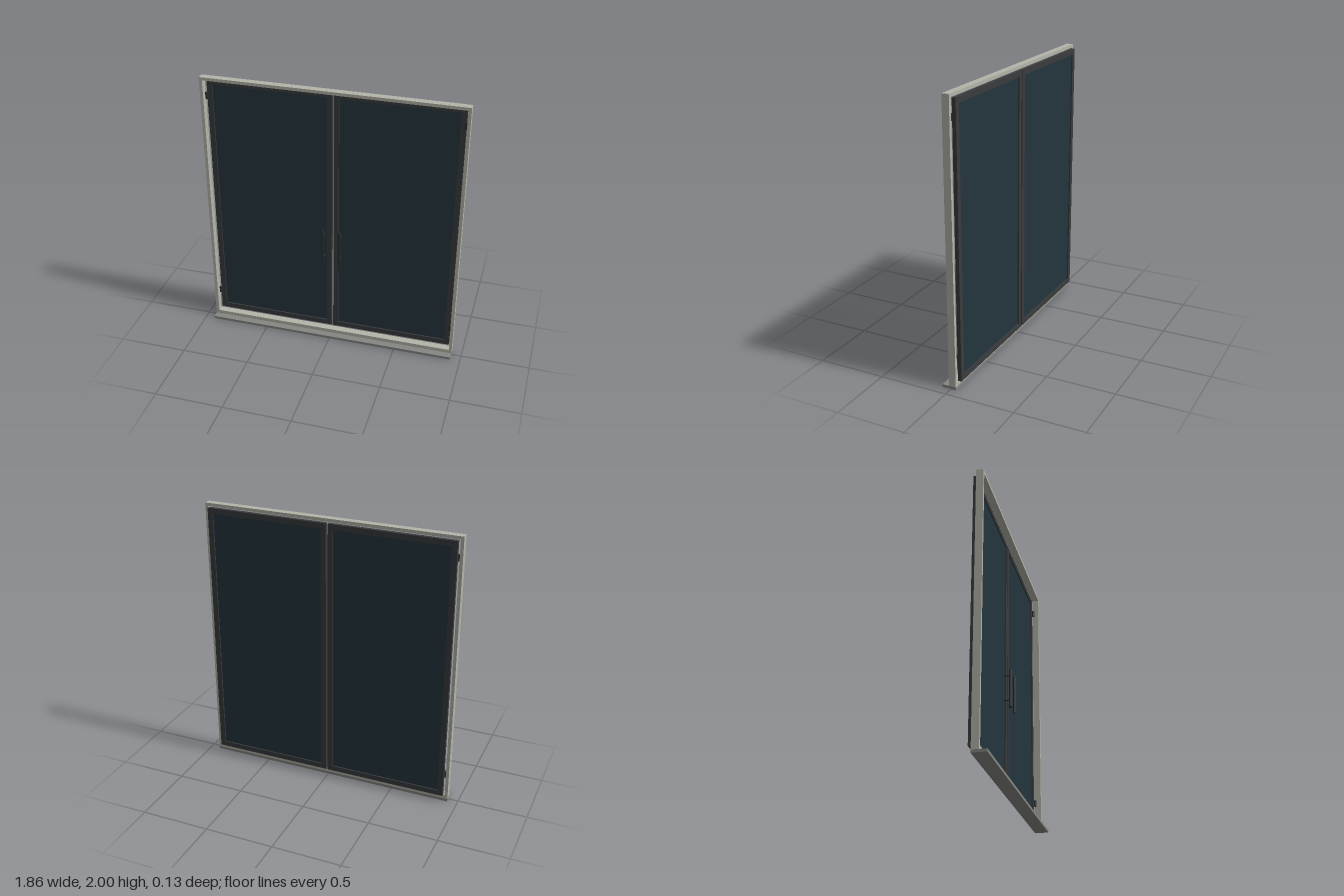
import * as THREE from 'three';

const mat = (color) => new THREE.MeshStandardMaterial({ color });

// Rectangular ring with an opening, extruded from z0 to z1
function ring(outer, inner, z0, z1, material, name) {
  const [ax, ay, bx, by] = outer, [cx, cy, dx, dy] = inner;
  const shape = new THREE.Shape([[ax, ay], [bx, ay], [bx, by], [ax, by]].map(p => new THREE.Vector2(...p)));
  shape.holes.push(new THREE.Path([[cx, cy], [cx, dy], [dx, dy], [dx, cy]].map(p => new THREE.Vector2(...p))));
  const geo = new THREE.ExtrudeGeometry(shape, { depth: z1 - z0, bevelEnabled: false });
  const mesh = new THREE.Mesh(geo.translate(0, 0, z0), material);
  mesh.name = name;
  return mesh;
}

function box(min, max, material, name) {
  const size = max.map((v, i) => v - min[i]);
  const mesh = new THREE.Mesh(new THREE.BoxGeometry(...size), material);
  mesh.position.set(...max.map((v, i) => (v + min[i]) / 2));
  mesh.name = name;
  return mesh;
}

function rod(radius, length, x, y, z, material, name) {
  const mesh = new THREE.Mesh(new THREE.CylinderGeometry(radius, radius, length, 20), material);
  mesh.position.set(x, y, z);
  mesh.name = name;
  return mesh;
}

export function createModel() {
  const model = new THREE.Group();
  model.name = 'doubleDoor';
  const frameMat = mat(0xb4b5a9), sillMat = mat(0x858783), leafMat = mat(0x393b3d);
  const glassMat = mat(0x24353e), metalMat = mat(0x292c2e);

  // Fixed surround and projecting sill
  model.add(ring([-0.93, 0.02, 0.93, 2], [-0.908, 0.048, 0.908, 1.978], -0.037, 0.014, frameMat, 'surround'));
  model.add(box([-0.93, 0, -0.037], [0.93, 0.02, 0.064], sillMat, 'sill'));

  // Two mirrored leaves, each with glass, pull handle and hinges
  for (const s of [-1, 1]) {
    const leaf = new THREE.Group();
    leaf.name = s < 0 ? 'rightLeaf' : 'leftLeaf';
    const span = (a, b) => (s > 0 ? [a, b] : [-b, -a]);
    const [ox0, ox1] = span(0.006, 0.898), [ix0, ix1] = span(0.044, 0.86);
    leaf.add(ring([ox0, 0.056, ox1, 1.974], [ix0, 0.094, ix1, 1.934], -0.064, -0.037, leafMat, 'leafFrame'));
    leaf.add(box([ix0, 0.094, -0.054], [ix1, 1.934, -0.047], glassMat, 'glassPanel'));

    // Pull handle on two standoffs
    leaf.add(rod(0.009, 0.28, s * 0.062, 0.773, 0, metalMat, 'pullHandle'));
    for (const y of [0.68, 0.866]) {
      const post = rod(0.005, 0.047, s * 0.062, y, -0.0235, metalMat, 'handlePost');
      post.rotation.x = Math.PI / 2;
      leaf.add(post);
    }

    // Hinge barrels
    for (const y of [0.222, 1.853]) leaf.add(rod(0.01, 0.046, s * 0.899, y, -0.028, metalMat, 'hinge'));
    model.add(leaf);
  }
  return model;
}
